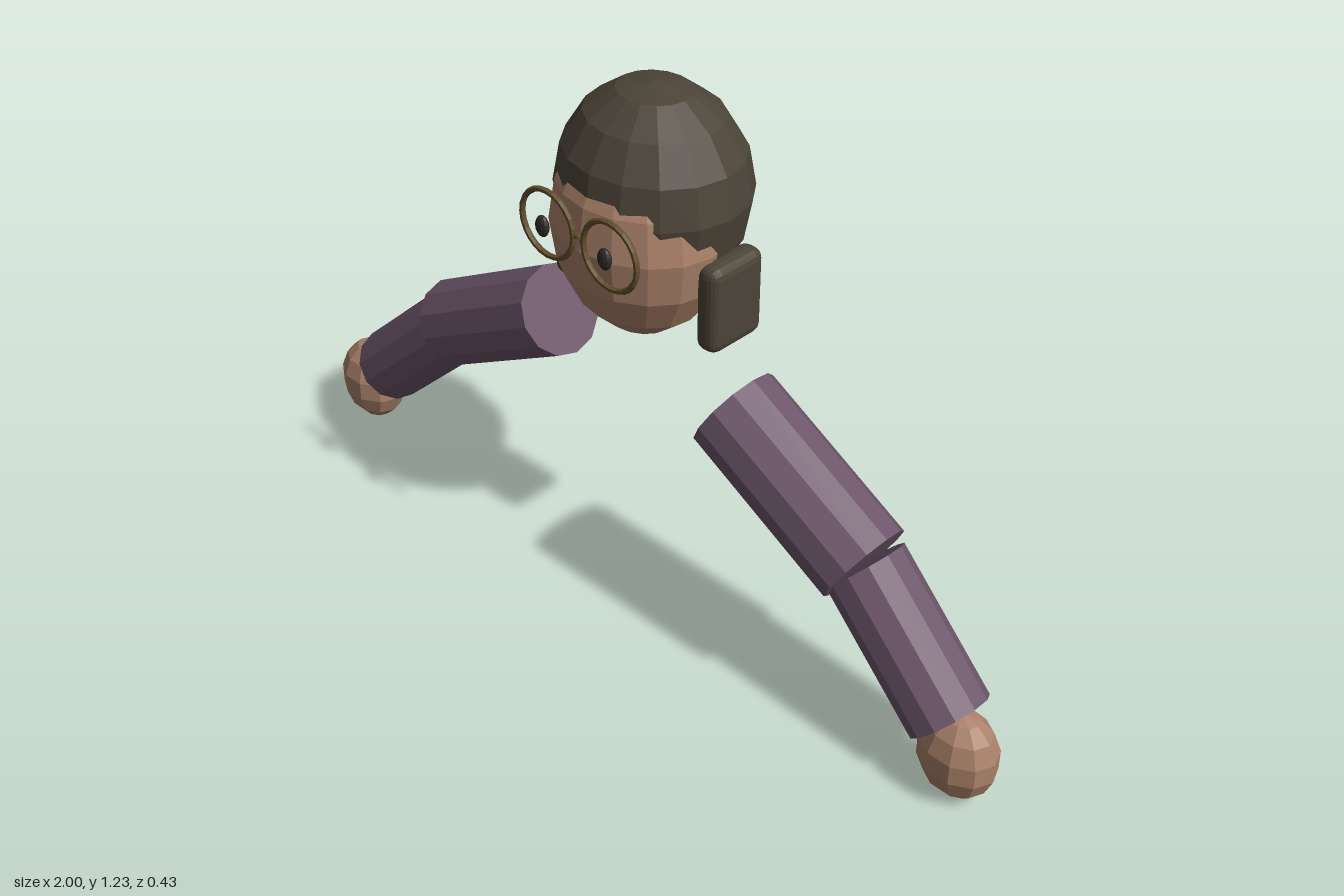
import * as THREE from 'three';
import { RoundedBoxGeometry } from 'three/addons/geometries/RoundedBoxGeometry.js';

function material(name, color) {
  const m = new THREE.MeshStandardMaterial({ color, flatShading: true });
  m.name = name;
  return m;
}

export function createModel() {
  const model = new THREE.Group();
  model.name = 'bust';

  const skin = material('skin', 0xab826a);
  const hairColor = material('hair', 0x4c4438);
  const sleeve = material('sleeve', 0x6d566a);
  const frame = material('glasses frame', 0x64502e);
  const eyeColor = material('eye', 0x2e2b29);

  function add(name, geometry, mat, x = 0, y = 0, z = 0) {
    const mesh = new THREE.Mesh(geometry, mat);
    mesh.name = name;
    mesh.position.set(x, y, z);
    model.add(mesh);
    return mesh;
  }

  function ellipsoid(rx, ry, rz, columns, rows) {
    return new THREE.SphereGeometry(1, columns, rows).scale(rx, ry, rz);
  }

  // Cylinder running between two points
  function limb(name, a, b, radius, mat) {
    const from = new THREE.Vector3(...a);
    const to = new THREE.Vector3(...b);
    const dir = to.clone().sub(from);
    const mesh = add(name, new THREE.CylinderGeometry(radius, radius, dir.length(), 12), mat);
    mesh.position.copy(from).add(to).multiplyScalar(0.5);
    mesh.quaternion.setFromUnitVectors(new THREE.Vector3(0, 1, 0), dir.normalize());
  }

  // Head, with the hair as a second, overlapping ellipsoid
  add('head', ellipsoid(0.2, 0.245, 0.17, 16, 8), skin, 0, 0.925, 0.02);
  add('hair', ellipsoid(0.214, 0.227, 0.194, 16, 8), hairColor, 0, 1.0, -0.02);

  // Bridge of the glasses, a shallow arch
  const bridge = new THREE.QuadraticBezierCurve3(
    new THREE.Vector3(-0.016, 0.955, 0.191),
    new THREE.Vector3(0, 0.97, 0.191),
    new THREE.Vector3(0.016, 0.955, 0.191));
  add('glassesBridge', new THREE.TubeGeometry(bridge, 6, 0.005, 6), frame);

  for (const [side, s] of [['left', 1], ['right', -1]]) {
    // Side hair pad
    add(side + 'SideHair', new RoundedBoxGeometry(0.059, 0.2, 0.148, 2, 0.024), hairColor, s * 0.206, 0.814, -0.025);

    // Eye and lens rim
    add(side + 'Eye', ellipsoid(0.018, 0.024, 0.011, 10, 8), eyeColor, s * 0.088, 0.955, 0.205);
    add(side + 'LensRim', new THREE.TorusGeometry(0.074, 0.0065, 6, 24), frame, s * 0.088, 0.955, 0.191);

    // Arm and hand
    limb(side + 'UpperArm', [s * 0.257, 0.591, 0.01], [s * 0.617, 0.39, 0.01], 0.104, sleeve);
    limb(side + 'Forearm', [s * 0.617, 0.385, 0.007], [s * 0.866, 0.152, 0.022], 0.09, sleeve);
    add(side + 'Hand', ellipsoid(0.09, 0.105, 0.071, 10, 7), skin, s * 0.91, 0.105, 0.047);
  }

  return model;
}
